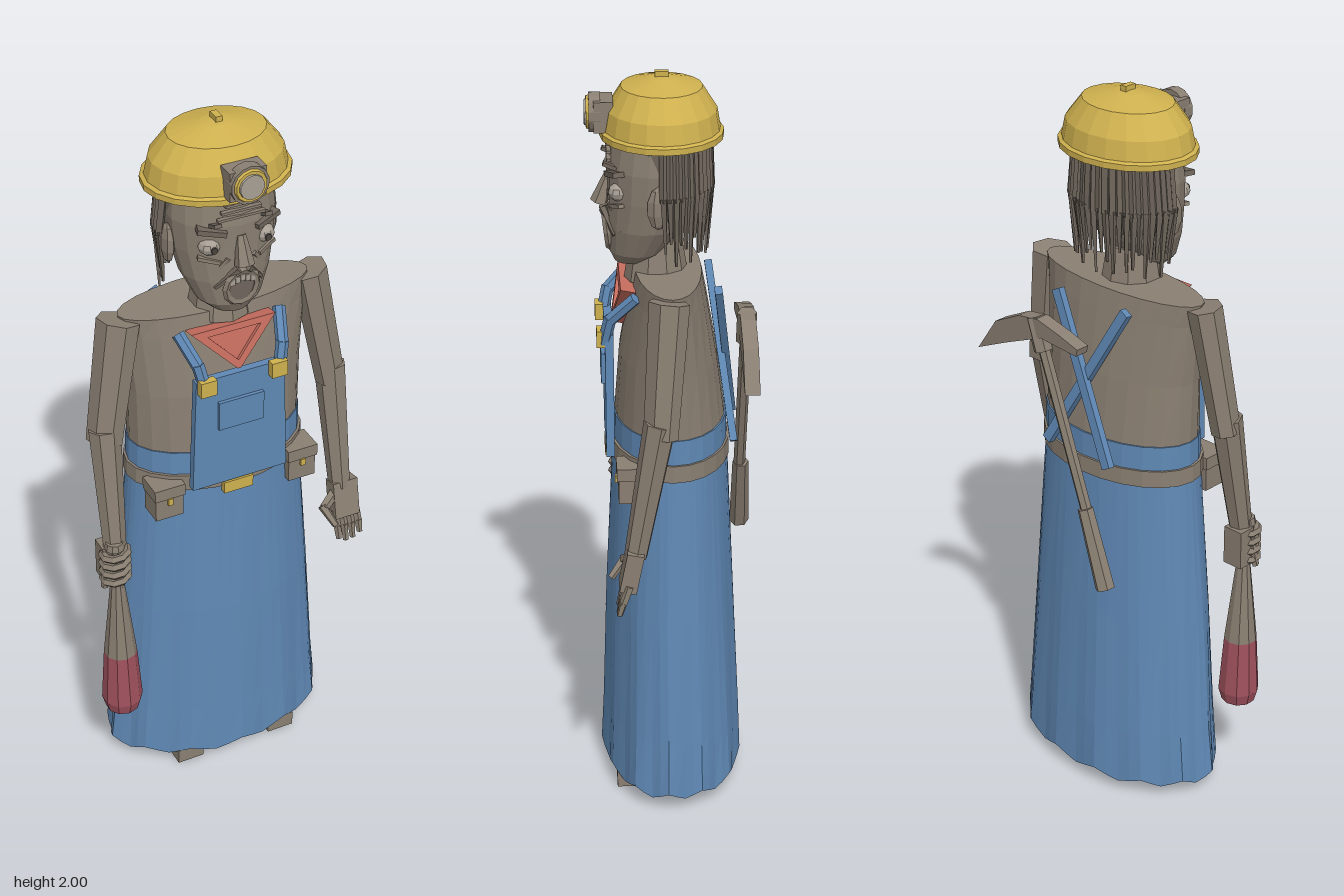
import * as THREE from 'three';

const mat = (name, color, double) => {
  const m = new THREE.MeshStandardMaterial({ color, flatShading: true });
  m.name = name;
  if (double) m.side = THREE.DoubleSide;
  return m;
};

export function createModel() {
  const root = new THREE.Group();
  const skin = mat('greyBrown', 0x8a7f72), hair = mat('hairGrey', 0x6f665c), pale = mat('paleGrey', 0xa79f94);
  const blue = mat('denimBlue', 0x5f88b4, true), yellow = mat('brassYellow', 0xcfb14f, true);
  const red = mat('clubRed', 0x9f515d), coral = mat('scarfRed', 0xc66d5e), dark = mat('darkGrey', 0x4a443e);

  const add = (name, geo, m, pos = [0, 0, 0], rot = [0, 0, 0], parent = root) => {
    const mesh = new THREE.Mesh(geo, m);
    mesh.name = name;
    mesh.position.set(...pos);
    mesh.rotation.set(...rot);
    parent.add(mesh);
    return mesh;
  };
  const box = (name, size, m, pos, rot, parent) => add(name, new THREE.BoxGeometry(...size), m, pos, rot, parent);

  // Bar from a to b, radius ra at a and rb at b
  const bar = (name, a, b, ra, rb, m, sides = 6, parent = root) => {
    const A = new THREE.Vector3(...a), B = new THREE.Vector3(...b), d = B.clone().sub(A);
    const mesh = add(name, new THREE.CylinderGeometry(rb, ra, d.length(), sides), m, [0, 0, 0], [0, 0, 0], parent);
    mesh.position.copy(A).add(B).multiplyScalar(0.5);
    mesh.quaternion.setFromUnitVectors(new THREE.Vector3(0, 1, 0), d.normalize());
    return mesh;
  };

  // Elliptic rings [y, rx, rz, zCentre], bottom to top, optionally shaped by warp(angle, t)
  const loft = (rings, n, capped = true, warp = () => [1, 0]) => {
    const pos = [], idx = [];
    rings.forEach(([y, rx, rz, zc], j) => {
      for (let i = 0; i < n; i++) {
        const a = (i / n) * Math.PI * 2, [k, dy] = warp(a, j / (rings.length - 1));
        pos.push(Math.sin(a) * rx * k, y + dy, zc + Math.cos(a) * rz * k);
      }
    });
    for (let j = 0; j < rings.length - 1; j++) for (let i = 0; i < n; i++) {
      const a = j * n + i, b = j * n + (i + 1) % n;
      idx.push(a, b, b + n, a, b + n, a + n);
    }
    if (capped) [0, rings.length - 1].forEach((j) => {
      const c = pos.length / 3;
      pos.push(0, rings[j][0], rings[j][3]);
      for (let i = 0; i < n; i++) {
        const a = j * n + i, b = j * n + (i + 1) % n;
        if (j) idx.push(a, b, c); else idx.push(b, a, c);
      }
    });
    const g = new THREE.BufferGeometry();
    g.setAttribute('position', new THREE.Float32BufferAttribute(pos, 3));
    g.setIndex(idx);
    g.computeVertexNormals();
    return g;
  };
  const plate = (pts, depth) => new THREE.ExtrudeGeometry(
    new THREE.Shape(pts.map((p) => new THREE.Vector2(...p))), { depth, bevelEnabled: false });

  // Body: bare torso, denim waist, belt and pleated skirt
  add('torso', loft([[1.06, 0.245, 0.15, 0.005], [1.25, 0.248, 0.13, 0.01], [1.42, 0.262, 0.1, 0.01],
    [1.48, 0.272, 0.088, 0.01]], 24), skin);
  add('waist', loft([[0.98, 0.25, 0.155, 0.005], [1.08, 0.248, 0.152, 0.005]], 24), blue);
  add('belt', loft([[0.965, 0.257, 0.162, 0.006], [1.012, 0.256, 0.161, 0.006]], 24), skin);
  add('skirt', loft([[0.05, 0.322, 0.193, 0], [0.2, 0.31, 0.188, 0], [0.55, 0.284, 0.175, 0.004],
    [0.98, 0.25, 0.155, 0.005]].map((r) => r), 52, false, (a, t) => [
    1 + (1 - t) * 0.035 * (Math.cos(13 * a) * 0.7 + Math.cos(5 * a + 1) * 0.4),
    t === 0 ? 0.012 * Math.cos(13 * a) - 0.006 : 0]), blue);
  box('beltBuckle', [0.085, 0.035, 0.02], yellow, [-0.008, 0.968, 0.17]);

  // Overall bib with pocket
  add('bib', plate([[-0.143, 0.99], [0.133, 0.99], [0.122, 1.33], [-0.132, 1.33]], 0.022), blue, [0, 0, 0.157]);
  box('bibPocket', [0.13, 0.085, 0.012], blue, [-0.006, 1.212, 0.183]);

  // Neckerchief: triangle with a raised border
  const scarf = [[-0.125, 0.06], [0, -0.07], [0.115, 0.06]];
  const border = new THREE.Shape(scarf.map((p) => new THREE.Vector2(...p)));
  border.holes.push(new THREE.Path([[-0.08, 0.042], [0, -0.042], [0.072, 0.042]].map((p) => new THREE.Vector2(...p))));
  add('scarf', plate(scarf, 0.03), coral, [0, 1.385, 0.11], [-0.2, 0, 0]);
  add('scarfBorder', new THREE.ExtrudeGeometry(border, { depth: 0.04, bevelEnabled: false }), coral,
    [0, 1.385, 0.11], [-0.2, 0, 0]);

  for (const s of [-1, 1]) {
    const side = s > 0 ? 'left' : 'right';
    // Straps, buckles and pouches
    bar(side + 'LowerStrap', [s * 0.105, 1.3, 0.182], [s * 0.122, 1.38, 0.165], 0.017, 0.017, blue);
    bar(side + 'UpperStrap', [s * 0.12, 1.37, 0.168], [s * 0.145, 1.44, 0.1], 0.017, 0.017, blue);
    box(side + 'BackStrap', [0.028, 0.49, 0.02], blue, [0, 1.235, -0.138 + s * 0.006], [0.13, 0, s * 0.5]);
    box(side + 'StrapBuckle', [0.045, 0.045, 0.022], yellow, [s * 0.102 - 0.004, 1.318, 0.19]);
    box(side + 'Pouch', [0.08, 0.09, 0.07], skin, [s * 0.198, 0.945, 0.115]);
    box(side + 'PouchFlap', [0.088, 0.035, 0.078], skin, [s * 0.198, 0.983, 0.116]);
    box(side + 'PouchStud', [0.014, 0.02, 0.008], yellow, [s * 0.198, 0.957, 0.155]);

    // Legs and shoes
    bar(side + 'Leg', [s * 0.145, 0.04, 0.03], [s * 0.13, 0.95, 0.01], 0.03, 0.06, skin, 8);
    box(side + 'Shoe', [0.08, 0.045, 0.18], skin, [s * 0.145, 0.0225, 0.07]);
    box(side + 'ShoeTop', [0.065, 0.04, 0.1], skin, [s * 0.145, 0.06, 0.04]);

    // Arms
    bar(side + 'UpperArm', [s * 0.275, 1.475, 0.02], [s * 0.335, 1.13, 0.045], 0.047, 0.04, skin, 7).scale.z = 1.25;
    bar(side + 'Forearm', [s * 0.334, 1.17, 0.045], [s * 0.342, 0.8, 0.11], 0.044, 0.031, skin, 7);

    // Ears, eyes, brows, wrinkles and moustache
    add(side + 'Ear', new THREE.SphereGeometry(0.05, 7, 5), skin, [s * 0.143, 1.68, 0.04]).scale.set(0.35, 1.15, 0.6);
    add(side + 'Eye', new THREE.SphereGeometry(0.03, 10, 6), pale, [s * 0.075, 1.705, 0.137]).scale.y = 0.8;
    add(side + 'Pupil', new THREE.CylinderGeometry(0.009, 0.009, 0.006, 8), dark, [s * 0.075, 1.705, 0.167], [Math.PI / 2, 0, 0]);
    box(side + 'Brow', [0.075, 0.014, 0.03], hair, [s * 0.075, 1.752, 0.15], [0, s * 0.3, s * 0.2]);
    box(side + 'BrowTuft', [0.02, 0.01, 0.04], hair, [s * 0.07, 1.772, 0.16], [-0.4, 0, 0]);
    box(side + 'EyeBag', [0.06, 0.01, 0.02], skin, [s * 0.078, 1.668, 0.143], [0, s * 0.4, s * 0.25]);
    bar(side + 'Moustache', [s * 0.012, 1.642, 0.178], [s * 0.065, 1.585, 0.15], 0.012, 0.006, hair, 5);
    bar(side + 'CheekFold', [s * 0.035, 1.67, 0.163], [s * 0.085, 1.6, 0.132], 0.008, 0.005, skin, 5);
  }

  // Neck and head
  add('neck', new THREE.CylinderGeometry(0.065, 0.085, 0.12, 10), skin, [0, 1.51, 0.04]);
  add('head', loft([[1.5, 0.05, 0.045, 0.105], [1.53, 0.088, 0.075, 0.09], [1.6, 0.12, 0.103, 0.067],
    [1.68, 0.138, 0.118, 0.05], [1.76, 0.145, 0.125, 0.043], [1.86, 0.135, 0.118, 0.035]], 18), skin);
  bar('nose', [0, 1.73, 0.162], [0, 1.655, 0.186], 0.013, 0.026, skin, 6);
  for (let i = 0; i < 3; i++) box('foreheadLine', [0.13 - i * 0.02, 0.007, 0.012], skin, [0, 1.785 + i * 0.018, 0.163]);
  const lips = add('lips', new THREE.TorusGeometry(0.043, 0.01, 5, 12), skin, [0, 1.585, 0.168], [0.12, 0, 0]);
  lips.scale.y = 1.15;
  add('mouth', new THREE.CylinderGeometry(0.042, 0.042, 0.02, 12), hair, [0, 1.585, 0.16], [Math.PI / 2, 0, 0]);
  for (let i = -2; i <= 2; i++) box('tooth', [0.012, 0.018, 0.008], pale, [i * 0.014, 1.613 - Math.abs(i) * 0.004, 0.174]);

  // Stringy hair hanging around the sides and back
  add('hairCap', loft([[1.64, 0.125, 0.1, 0.01], [1.72, 0.147, 0.12, 0.015], [1.85, 0.147, 0.12, 0.02]], 16), hair);
  for (let i = 0; i < 27; i++) {
    const a = Math.PI * (0.48 + (i / 26) * 1.04), low = 1.56 + 0.035 * Math.sin(i * 2.3);
    const x = Math.sin(a), z = Math.cos(a);
    bar('hairStrand', [x * 0.142, 1.85, 0.02 + z * 0.115], [x * 0.16, 1.7, 0.02 + z * 0.122], 0.012, 0.011, hair, 4);
    bar('hairStrand', [x * 0.16, 1.71, 0.02 + z * 0.122], [x * 0.148, low, 0.015 + z * 0.108], 0.011, 0.004, hair, 4);
  }

  // Miner's helmet with lamp
  const helmet = new THREE.Group();
  helmet.name = 'helmet';
  helmet.position.z = 0.025;
  root.add(helmet);
  const profile = [[0.178, 1.838], [0.198, 1.834], [0.198, 1.85], [0.187, 1.855], [0.176, 1.905], [0.13, 1.963],
    [0.04, 1.984], [0, 1.988]].map((p) => new THREE.Vector2(...p));
  add('helmetShell', new THREE.LatheGeometry(profile, 20), yellow, [0, 0, 0], [0, 0, 0], helmet).scale.z = 0.81;
  box('helmetCrest', [0.018, 0.02, 0.035], yellow, [0, 1.99, 0], [0, 0, 0], helmet);
  box('lampMount', [0.1, 0.08, 0.05], skin, [0, 1.892, 0.15], [0, 0, 0], helmet);
  const facing = [Math.PI / 2, 0, 0];
  add('lampBody', new THREE.CylinderGeometry(0.052, 0.052, 0.03, 14), skin, [0, 1.895, 0.172], facing, helmet);
  add('lampRim', new THREE.CylinderGeometry(0.042, 0.046, 0.01, 14), yellow, [0, 1.895, 0.189], facing, helmet);
  add('lampLens', new THREE.CylinderGeometry(0.033, 0.035, 0.008, 14), pale, [0, 1.895, 0.195], facing, helmet);

  // Left hand, open
  box('leftPalm', [0.075, 0.11, 0.045], skin, [0.347, 0.765, 0.122], [-0.2, 0, 0]);
  for (let i = 0; i < 4; i++) {
    const x = 0.316 + i * 0.022, tip = 0.63 + Math.abs(i - 1.4) * 0.012;
    bar('leftFinger', [x, 0.73, 0.128], [x + 0.004, 0.68, 0.145], 0.012, 0.011, skin, 5);
    bar('leftFinger', [x + 0.004, 0.685, 0.145], [x + 0.005, tip, 0.155], 0.011, 0.008, skin, 5);
  }
  bar('leftThumb', [0.325, 0.79, 0.12], [0.278, 0.76, 0.14], 0.016, 0.014, skin, 5);
  bar('leftThumb', [0.275, 0.765, 0.135], [0.298, 0.715, 0.175], 0.014, 0.01, skin, 5);

  // Right hand gripping the club
  box('rightPalm', [0.06, 0.11, 0.05], skin, [-0.35, 0.775, 0.09]);
  for (let i = 0; i < 4; i++) {
    add('rightFinger', new THREE.TorusGeometry(0.034, 0.012, 5, 9), skin, [-0.347, 0.735 + i * 0.027, 0.12], [Math.PI / 2, 0.15, 0]);
  }
  bar('rightThumb', [-0.37, 0.8, 0.11], [-0.382, 0.71, 0.125], 0.014, 0.01, skin, 5);
  bar('clubKnob', [-0.348, 0.85, 0.12], [-0.348, 0.83, 0.12], 0.024, 0.028, skin, 10);
  bar('clubHandle', [-0.348, 0.84, 0.12], [-0.343, 0.7, 0.12], 0.018, 0.02, skin, 10);
  bar('clubShaft', [-0.343, 0.7, 0.12], [-0.34, 0.465, 0.12], 0.02, 0.046, skin, 10);
  bar('clubHead', [-0.34, 0.465, 0.12], [-0.338, 0.3, 0.12], 0.046, 0.057, red, 10);
  bar('clubEnd', [-0.338, 0.3, 0.12], [-0.338, 0.265, 0.12], 0.057, 0.047, red, 10);

  // Pickaxe slung diagonally across the back
  add('pickHead', plate([[-0.04, 1.335], [0.09, 1.345], [0.22, 1.29], [0.33, 1.24], [0.26, 1.34], [0.17, 1.385],
    [0.1, 1.395], [0.02, 1.375], [-0.045, 1.355]], 0.04), skin, [0, 0, -0.21]);
  bar('pickHandle', [-0.1, 0.75, -0.19], [0.125, 1.38, -0.19], 0.016, 0.016, skin, 6);
  bar('pickGrip', [-0.13, 0.67, -0.197], [-0.053, 0.885, -0.193], 0.027, 0.022, skin, 6);
  bar('pickCollar', [0.1, 1.3, -0.19], [0.13, 1.39, -0.19], 0.026, 0.026, skin, 6);
  return root;
}
